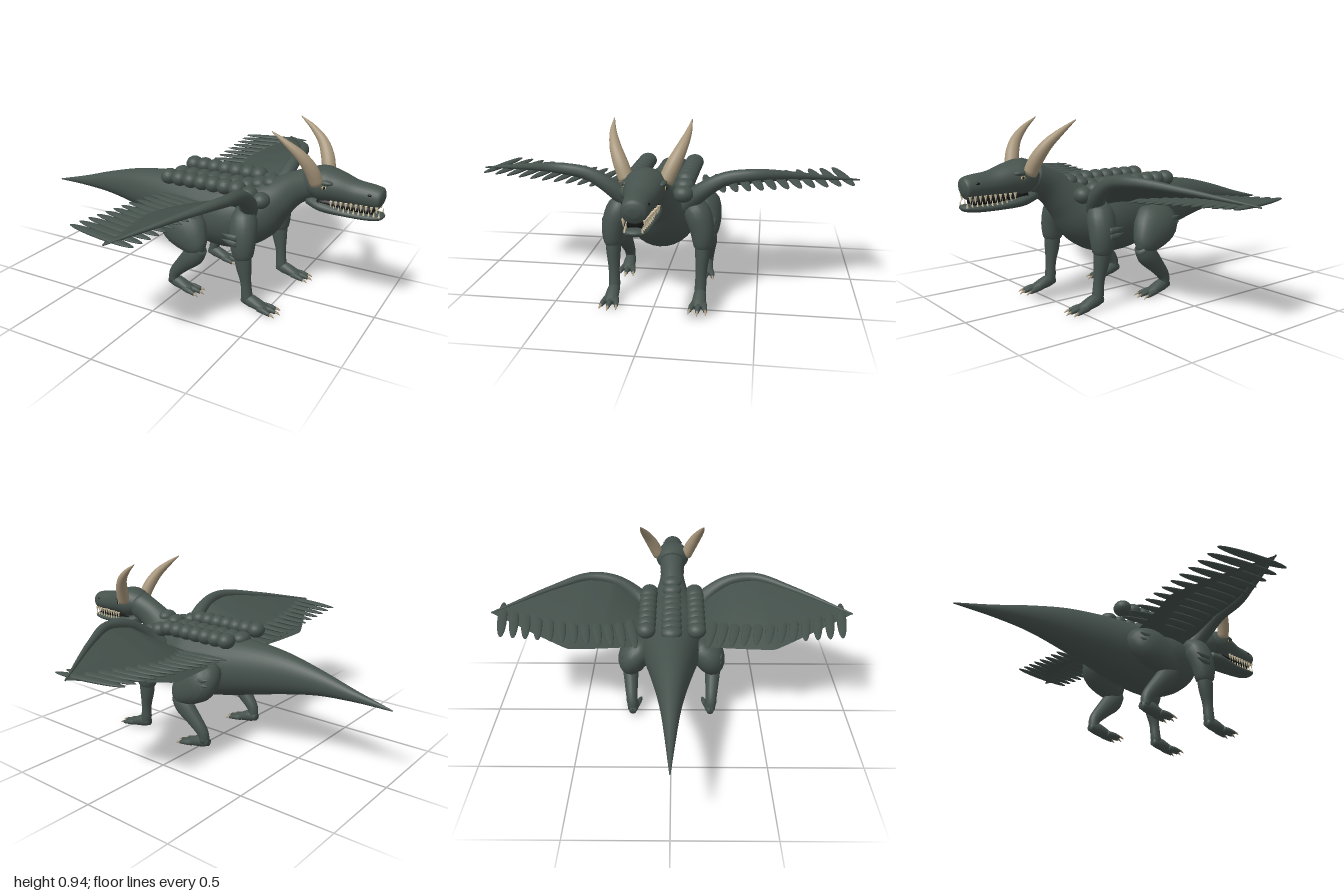
import * as THREE from 'three';

const mat = (name, color, extra = {}) => {
  const m = new THREE.MeshStandardMaterial({ color, ...extra });
  m.name = name;
  return m;
};

// Smooth tube through rings [x, y, z, radiusUp, radiusSide]
function loft(rings, hint = [0, 1, 0], sides = 20, steps = 4) {
  const path = new THREE.CatmullRomCurve3(rings.map(r => new THREE.Vector3(r[0], r[1], r[2])));
  const rad = new THREE.CatmullRomCurve3(
    rings.map(r => new THREE.Vector3(r[3], r[4] ?? r[3], 0)), false, 'catmullrom', 0.5);
  const n = (rings.length - 1) * steps, pos = [], idx = [];
  for (let i = 0; i <= n; i++) {
    const t = i / n, c = path.getPoint(t), k = rad.getPoint(t), T = path.getTangent(t);
    const S = new THREE.Vector3().crossVectors(T, new THREE.Vector3(...hint)).normalize();
    const U = new THREE.Vector3().crossVectors(S, T);
    for (let j = 0; j < sides; j++) {
      const a = j / sides * Math.PI * 2;
      const p = c.clone().addScaledVector(U, Math.cos(a) * Math.max(k.x, 0.001))
        .addScaledVector(S, Math.sin(a) * Math.max(k.y, 0.001));
      pos.push(p.x, p.y, p.z);
    }
  }
  for (let i = 0; i < n; i++) for (let j = 0; j < sides; j++) {
    const a = i * sides + j, b = i * sides + (j + 1) % sides;
    idx.push(a, b, a + sides, b, b + sides, a + sides);
  }
  // end caps
  const s = pos.length / 3, p0 = path.getPoint(0), p1 = path.getPoint(1);
  pos.push(p0.x, p0.y, p0.z, p1.x, p1.y, p1.z);
  for (let j = 0; j < sides; j++) {
    const k = (j + 1) % sides;
    idx.push(s, k, j, s + 1, n * sides + j, n * sides + k);
  }
  const g = new THREE.BufferGeometry();
  g.setAttribute('position', new THREE.Float32BufferAttribute(pos, 3));
  g.setIndex(idx);
  g.computeVertexNormals();
  return g;
}

// Curved sheet between a leading and a trailing edge
function sheet(lead, trail) {
  const curve = l => new THREE.CatmullRomCurve3(l.map(p => new THREE.Vector3(...p)), false, 'catmullrom', 0.15);
  const A = curve(lead), B = curve(trail), nu = 24, nv = 8, pos = [], idx = [];
  for (let i = 0; i <= nu; i++) for (let j = 0; j <= nv; j++) {
    const p = A.getPoint(i / nu).lerp(B.getPoint(i / nu), j / nv);
    pos.push(p.x, p.y + 0.02 * Math.sin(Math.PI * j / nv) * (1 - i / nu), p.z);
    if (i < nu && j < nv) {
      const a = i * (nv + 1) + j, b = a + nv + 1;
      idx.push(a, a + 1, b, b, a + 1, b + 1);
    }
  }
  const g = new THREE.BufferGeometry();
  g.setAttribute('position', new THREE.Float32BufferAttribute(pos, 3));
  g.setIndex(idx);
  g.computeVertexNormals();
  return g;
}

export function createModel() {
  const root = new THREE.Group();
  root.name = 'wingedDragon';
  const hide = mat('dark slate hide', 0x46524d);
  const web = mat('wing membrane', 0x434f4a, { side: THREE.DoubleSide });
  const horn = mat('horn', 0xa8977c);
  const tooth = mat('tooth', 0xd6c7a6);
  const eyeMat = mat('eye', 0xc9b684);
  const black = mat('black', 0x141615);
  const add = (name, geo, m) => {
    const o = new THREE.Mesh(geo, m);
    o.name = name;
    root.add(o);
    return o;
  };
  const ball = new THREE.SphereGeometry(1, 20, 14);
  const blob = (name, p, s, m = hide) => {
    const o = add(name, ball, m);
    o.position.set(...p);
    o.scale.set(...s);
    return o;
  };

  // Tail, torso and neck in one skin
  add('body', loft([[-1, 0.405, 0, 0.003, 0.003], [-0.8, 0.43, 0, 0.03, 0.025], [-0.6, 0.452, 0, 0.068, 0.05],
    [-0.4, 0.457, 0, 0.112, 0.085], [-0.2, 0.445, 0, 0.147, 0.125], [0, 0.425, 0, 0.175, 0.165],
    [0.2, 0.42, 0, 0.19, 0.185], [0.33, 0.46, 0, 0.165, 0.155], [0.44, 0.54, 0, 0.11, 0.1],
    [0.53, 0.61, 0, 0.085, 0.07], [0.64, 0.665, 0, 0.078, 0.075]], [0, 1, 0], 32, 5), hide);

  // Head
  add('head', loft([[0.58, 0.66, 0, 0.05, 0.05], [0.68, 0.67, 0, 0.086, 0.098], [0.75, 0.665, 0, 0.08, 0.09],
    [0.85, 0.648, 0, 0.064, 0.068], [0.94, 0.642, 0, 0.058, 0.06], [0.98, 0.638, 0, 0.05, 0.054],
    [0.993, 0.636, 0, 0.02, 0.025]], [0, 1, 0], 28, 5), hide);
  add('lowerJaw', loft([[0.62, 0.58, 0, 0.03, 0.05], [0.7, 0.562, 0, 0.035, 0.075], [0.82, 0.546, 0, 0.024, 0.062],
    [0.94, 0.545, 0, 0.02, 0.054], [0.985, 0.55, 0, 0.016, 0.042], [1, 0.552, 0, 0.005, 0.015]]), hide);
  add('mouthInterior', loft([[0.68, 0.585, 0, 0.03, 0.06], [0.82, 0.58, 0, 0.03, 0.045],
    [0.95, 0.575, 0, 0.025, 0.036]]), black);

  // Three rows of back scutes
  for (let i = 0; i < 9; i++) {
    const x = -0.12 + i * 0.067, drop = Math.max(0, x - 0.28);
    blob('backScute', [x, 0.592 + drop * 0.25, 0], [0.045, 0.036, 0.056]);
    for (const s of [1, -1])
      blob('flankScute', [x, 0.608 - drop * 0.3, s * 0.132], [0.046, 0.042, 0.05]);
  }

  for (const s of [1, -1]) {
    const m = rings => rings.map(([x, y, z, ...r]) => [x, y, s * z, ...r]);
    const X = [1, 0, 0];

    // Horn, eye, brow, nostril and teeth
    add('horn', loft(m([[0.685, 0.69, 0.085, 0.034], [0.665, 0.76, 0.115, 0.034], [0.625, 0.83, 0.148, 0.027],
      [0.56, 0.89, 0.172, 0.016], [0.485, 0.942, 0.182, 0.002]]), X), horn);
    blob('eye', [0.722, 0.675, s * 0.087], [0.016, 0.013, 0.012], eyeMat);
    blob('pupil', [0.726, 0.676, s * 0.096], [0.006, 0.008, 0.005], black);
    blob('brow', [0.725, 0.697, s * 0.08], [0.04, 0.014, 0.02]);
    blob('nostril', [0.935, 0.662, s * 0.052], [0.011, 0.007, 0.008], black);
    for (let i = 0; i < 10; i++) {
      const x = 0.755 + i * 0.024, z = s * (0.068 - i * 0.0026);
      const up = add('upperTooth', new THREE.ConeGeometry(0.008, 0.036, 8), tooth);
      up.position.set(x, 0.588, z);
      up.rotation.x = Math.PI;
      add('lowerTooth', new THREE.ConeGeometry(0.006, 0.03, 8), tooth)
        .position.set(x + 0.012, 0.568, z * 0.82);
    }

    // Wing: arm, membrane and feathers
    const lead = [[0.34, 0.49, 0.13], [0.38, 0.56, 0.2], [0.4, 0.645, 0.33], [0.395, 0.67, 0.48],
      [0.3, 0.65, 0.67], [0.1, 0.59, 0.997]];
    const radii = [0.055, 0.045, 0.034, 0.028, 0.018, 0.004];
    const trail = [[-0.05, 0.47, 0.13], [-0.08, 0.478, 0.25], [-0.11, 0.488, 0.4], [-0.14, 0.505, 0.55],
      [-0.04, 0.545, 0.75], [0.1, 0.59, 0.997]];
    add('wingArm', loft(m(lead.map((p, i) => [...p, radii[i]])), [0, 1, 0], 14, 5), hide);
    add('wingMembrane', sheet(m(lead), m(trail)), web);
    for (let i = 0; i < 12; i++) {
      const t = i / 11;
      const f = blob('wingFeather', [0.03, 0.525 + 0.065 * t, s * (0.22 + 0.7 * t)], [0.2, 0.011, 0.026]);
      f.rotation.y = -s * 0.17;
    }

    // Front leg
    add('frontUpperLeg', loft(m([[0.32, 0.52, 0.15, 0.03, 0.03], [0.35, 0.47, 0.19, 0.07, 0.065],
      [0.365, 0.38, 0.222, 0.068, 0.062], [0.37, 0.29, 0.228, 0.052, 0.046],
      [0.372, 0.262, 0.228, 0.02, 0.02]]), X), hide);
    add('frontLowerLeg', loft(m([[0.368, 0.32, 0.228, 0.045, 0.042], [0.375, 0.24, 0.226, 0.042, 0.036],
      [0.388, 0.15, 0.222, 0.028, 0.028], [0.395, 0.07, 0.22, 0.03, 0.029],
      [0.405, 0.035, 0.22, 0.025, 0.025]]), X), hide);

    // Hind leg
    add('haunch', loft(m([[-0.06, 0.46, 0.13, 0.04, 0.04], [-0.02, 0.41, 0.19, 0.115, 0.085],
      [0.05, 0.35, 0.22, 0.11, 0.075], [0.115, 0.285, 0.235, 0.062, 0.05],
      [0.14, 0.26, 0.235, 0.02, 0.02]]), X), hide);
    add('hindLowerLeg', loft(m([[0.13, 0.285, 0.235, 0.04, 0.035], [0.09, 0.235, 0.235, 0.056, 0.044],
      [0.02, 0.165, 0.23, 0.043, 0.037], [-0.035, 0.1, 0.225, 0.032, 0.03],
      [-0.045, 0.05, 0.222, 0.026, 0.027]]), X), hide);

    // Joint tufts
    for (const [x, y, z] of [[-0.02, 0.41, 0.265], [0.36, 0.4, 0.275]])
      for (let k = 0; k < 2; k++)
        add('jointTuft', loft(m([[x, y - k * 0.03, z, 0.018, 0.012], [x - 0.045, y + 0.005 - k * 0.03, z + 0.004, 0.014, 0.01],
          [x - 0.085, y + 0.012 - k * 0.03, z, 0.002, 0.002]]), [0, 1, 0], 10), hide);

    // Feet with clawed toes
    for (const fx of [0.4, -0.04]) {
      add('foot', loft(m([[fx - 0.03, 0.05, 0.22, 0.02, 0.02], [fx + 0.01, 0.05, 0.22, 0.033, 0.03],
        [fx + 0.07, 0.033, 0.22, 0.025, 0.034], [fx + 0.11, 0.022, 0.22, 0.014, 0.028]])), hide);
      for (const k of [-1, 0, 1]) {
        const z = 0.22 + k * 0.022, l = k ? 0 : 0.015;
        add('toe', loft(m([[fx + 0.07, 0.028, z, 0.016], [fx + 0.11 + l, 0.024, z + k * 0.01, 0.014],
          [fx + 0.142 + l, 0.017, z + k * 0.016, 0.009]]), [0, 1, 0], 10), hide);
        add('claw', loft(m([[fx + 0.132 + l, 0.02, z + k * 0.014, 0.008], [fx + 0.15 + l, 0.018, z + k * 0.018, 0.006],
          [fx + 0.168 + l, 0.008, z + k * 0.02, 0.001]]), [0, 1, 0], 8), horn);
      }
    }
  }
  return root;
}
